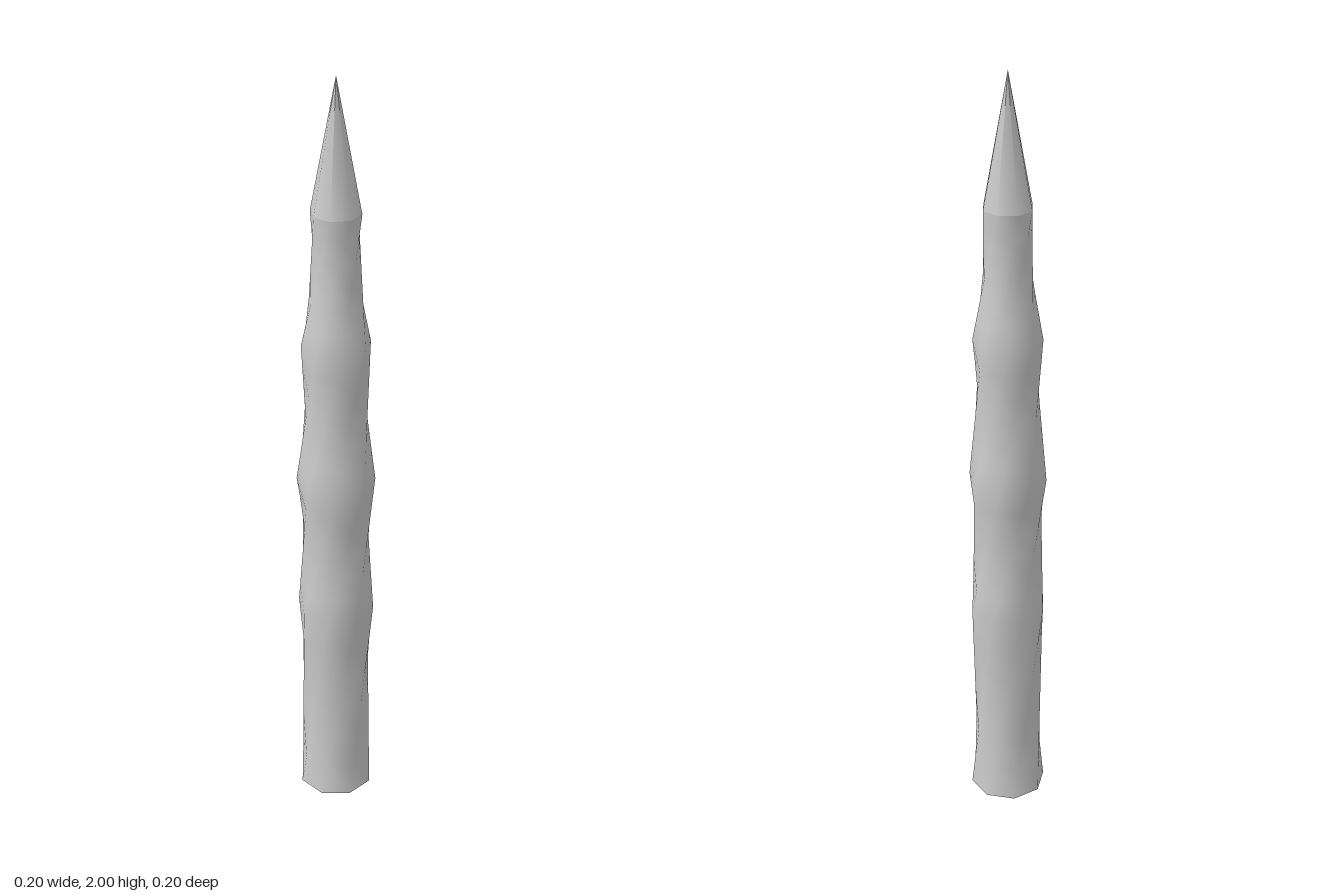
import * as THREE from 'three';

const SIDES = 8;
const STEPS = 6;
// Main rings of the shaft: height, radius, turn in degrees
const RINGS = [
  [0, 0.1, 11.25],
  [0.57, 0.1, 67.5],
  [0.95, 0.1, 123.75],
  [1.33, 0.087, 180],
  [1.67, 0.063, 247.5],
];

const corner = ([y, r, turn], i) => {
  const a = THREE.MathUtils.degToRad(turn) + (i / SIDES) * Math.PI * 2;
  return new THREE.Vector3(r * Math.sin(a), y, r * Math.cos(a));
};

// Straight ridges join the turned rings, so the shaft narrows between them
function twistedShaft() {
  const pos = [], index = [];
  const addRow = (lower, upper, s) => {
    for (let i = 0; i < SIDES; i++) {
      pos.push(...corner(lower, i).lerp(corner(upper, i), s).toArray());
    }
  };
  for (let k = 0; k < RINGS.length - 1; k++) {
    for (let j = 0; j < STEPS; j++) addRow(RINGS[k], RINGS[k + 1], j / STEPS);
  }
  const last = RINGS[RINGS.length - 1];
  addRow(last, last, 0);

  const rows = pos.length / 3 / SIDES;
  for (let r = 0; r < rows - 1; r++) {
    for (let i = 0; i < SIDES; i++) {
      const n = (i + 1) % SIDES;
      const a = r * SIDES + i, b = r * SIDES + n;
      const c = a + SIDES, d = b + SIDES;
      index.push(a, b, c, b, d, c);
    }
  }
  const g = new THREE.BufferGeometry();
  g.setAttribute('position', new THREE.Float32BufferAttribute(pos, 3));
  g.setIndex(index);
  g.computeVertexNormals();
  return g;
}

export function createModel() {
  const group = new THREE.Group();
  group.name = 'twistedSpike';
  const material = new THREE.MeshStandardMaterial({ color: 0xcccccc, side: THREE.DoubleSide });

  const shaft = new THREE.Mesh(twistedShaft(), material);
  shaft.name = 'twistedShaft';
  group.add(shaft);

  // Pointed tip, open where it meets the shaft
  const [y, r, turn] = RINGS[RINGS.length - 1];
  const height = 2 - y;
  const tip = new THREE.Mesh(
    new THREE.ConeGeometry(r, height, SIDES, 1, true, THREE.MathUtils.degToRad(turn)),
    material
  );
  tip.name = 'tip';
  tip.position.y = y + height / 2;
  group.add(tip);

  return group;
}
